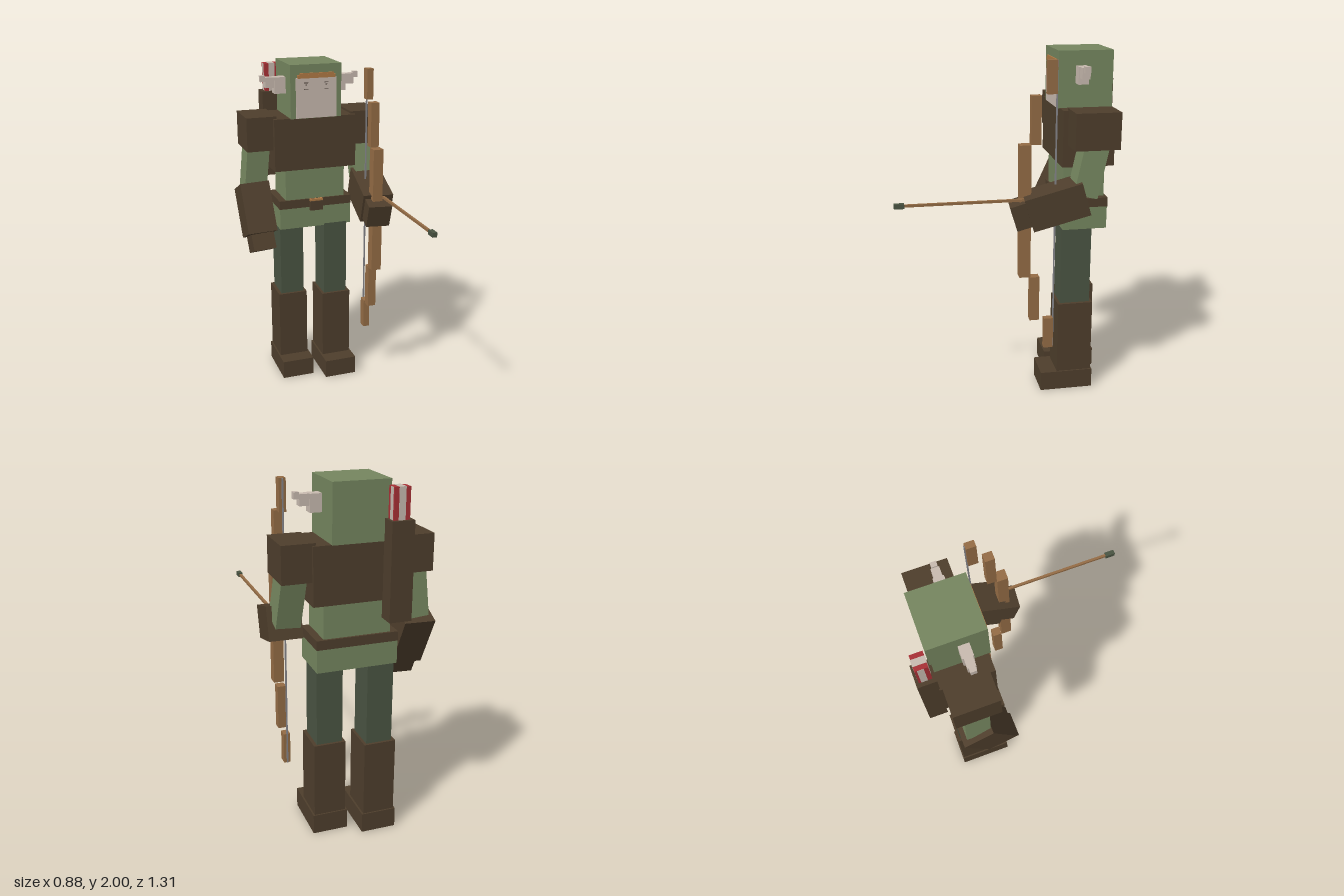
import * as THREE from 'three';

const mat = (name, color) => {
  const m = new THREE.MeshStandardMaterial({ color });
  m.name = name;
  return m;
};

export function createModel() {
  const root = new THREE.Group();
  root.name = 'archer';

  const green = mat('tunic green', 0x75865f);
  const brown = mat('dark leather', 0x4e3e2c);
  const trousers = mat('grey green', 0x4a5442);
  const skin = mat('pale skin', 0xc8baaf);
  const wood = mat('bow wood', 0x946c45);
  const hair = mat('ginger hair', 0xb07a45);
  const red = mat('red feather', 0xa83035);
  const grey = mat('string grey', 0x85858a);
  const dark = mat('eye dark', 0x4b4038);

  // Box given by its limits on each axis
  const box = (name, m, [x0, x1], [y0, y1], [z0, z1]) => {
    const mesh = new THREE.Mesh(new THREE.BoxGeometry(x1 - x0, y1 - y0, z1 - z0), m);
    mesh.position.set((x0 + x1) / 2, (y0 + y1) / 2, (z0 + z1) / 2);
    mesh.name = name;
    root.add(mesh);
    return mesh;
  };

  // Box whose long axis runs from a to b
  const limb = (name, m, a, b, w, d) => {
    const from = new THREE.Vector3(...a), to = new THREE.Vector3(...b);
    const y = from.clone().sub(to);
    const len = y.length();
    y.normalize();
    const z = new THREE.Vector3(1, 0, 0).cross(y).normalize();
    const x = y.clone().cross(z);
    const mesh = new THREE.Mesh(new THREE.BoxGeometry(w, len, d), m);
    mesh.quaternion.setFromRotationMatrix(new THREE.Matrix4().makeBasis(x, y, z));
    mesh.position.copy(from).add(to).multiplyScalar(0.5);
    mesh.name = name;
    root.add(mesh);
  };

  // Head, face and hair
  box('hood', green, [-0.152, 0.157], [1.69, 2], [-0.568, -0.262]);
  box('face', skin, [-0.12, 0.125], [1.692, 1.925], [-0.264, -0.257]);
  box('fringe', hair, [-0.11, 0.12], [1.922, 1.942], [-0.264, -0.255]);
  box('fringeTop', hair, [-0.1, 0.11], [1.942, 1.952], [-0.264, -0.256]);
  for (const x of [-0.058, 0.064]) {
    box('brow', dark, [x - 0.013, x + 0.013], [1.894, 1.898], [-0.259, -0.2555]);
    box('eye', dark, [x - 0.005, x + 0.005], [1.882, 1.886], [-0.259, -0.2555]);
    box('lowerLid', dark, [x - 0.013, x + 0.013], [1.858, 1.861], [-0.259, -0.2555]);
  }

  // Stepped ears
  const ear = [
    [0.15, 0.22, 1.825, 1.92, 0.029],
    [0.22, 0.272, 1.86, 1.92, 0.022],
    [0.272, 0.3, 1.895, 1.93, 0.016],
  ];
  for (const s of [-1, 1]) {
    for (const [a, b, y0, y1, h] of ear) {
      const xs = s > 0 ? [a, b] : [-b, -a];
      box(s > 0 ? 'leftEar' : 'rightEar', skin, xs, [y0, y1], [-0.387 - h, -0.387 + h]);
    }
  }

  // Trunk
  box('chestArmour', brown, [-0.25, 0.253], [1.38, 1.692], [-0.563, -0.272]);
  box('torso', green, [-0.182, 0.188], [1.15, 1.4], [-0.53, -0.295]);
  box('belt', brown, [-0.224, 0.23], [1.138, 1.19], [-0.543, -0.286]);
  box('skirt', green, [-0.222, 0.228], [1.01, 1.138], [-0.541, -0.288]);
  box('buckle', brown, [-0.037, 0.045], [1.12, 1.178], [-0.3, -0.265]);
  box('buckleTrim', hair, [-0.037, 0.045], [1.178, 1.19], [-0.3, -0.272]);

  // Legs and boots, the left one a step ahead
  for (const [side, s, dz] of [['left', 1, 0], ['right', -1, -0.077]]) {
    const span = (a, b) => (s > 0 ? [a, b] : [-b, -a]);
    const depth = (a, b) => [a + dz, b + dz];
    box(side + 'Leg', trousers, span(0.056, 0.204), [0.5, 1.02], depth(-0.463, -0.288));
    box(side + 'BootShaft', brown, span(0.041, 0.223), [0.1, 0.55], depth(-0.478, -0.272));
    box(side + 'BootFoot', brown, span(0.031, 0.232), [0, 0.115], depth(-0.486, -0.174));
  }

  // Shoulder guards
  box('leftShoulder', brown, [0.232, 0.412], [1.505, 1.705], [-0.547, -0.3]);
  box('rightShoulder', brown, [-0.407, -0.228], [1.505, 1.705], [-0.547, -0.3]);

  // Right arm hanging slightly forward
  limb('rightUpperArm', green, [-0.315, 1.62, -0.425], [-0.347, 1.24, -0.445], 0.135, 0.135);
  limb('rightGauntlet', brown, [-0.354, 1.262, -0.455], [-0.342, 0.985, -0.325], 0.178, 0.185);
  limb('rightHand', brown, [-0.342, 0.985, -0.325], [-0.336, 0.892, -0.284], 0.138, 0.14);

  // Left arm reaching out with the bow
  limb('leftUpperArm', green, [0.322, 1.62, -0.447], [0.345, 1.25, -0.362], 0.135, 0.135);
  limb('leftGauntlet', brown, [0.347, 1.25, -0.373], [0.316, 1.16, -0.067], 0.183, 0.185);
  limb('leftHand', brown, [0.309, 1.163, -0.08], [0.3, 1.134, 0.014], 0.142, 0.14);

  // Bow built from stepped blocks
  const bow = [
    [0.78, 1.53, -0.082, -0.02, 0.03],
    [1.53, 1.79, -0.135, -0.082, 0.025],
    [0.513, 0.775, -0.135, -0.082, 0.025],
    [1.795, 1.972, -0.22, -0.167, 0.019],
    [0.33, 0.513, -0.22, -0.167, 0.019],
  ];
  for (const [y0, y1, z0, z1, h] of bow) {
    box('bowSegment', wood, [0.302 - h, 0.302 + h], [y0, y1], [z0, z1]);
  }
  box('bowString', grey, [0.298, 0.306], [0.33, 1.97], [-0.226, -0.218]);

  // Nocked arrow
  box('arrowShaft', wood, [0.338, 0.352], [1.228, 1.242], [-0.2, 0.6]);
  box('arrowHead', trousers, [0.332, 0.358], [1.222, 1.248], [0.6, 0.655]);

  // Quiver with feathered arrows: red corners, white stripes
  box('quiver', brown, [-0.242, -0.12], [1.285, 1.807], [-0.658, -0.558]);
  box('feathers', red, [-0.22, -0.134], [1.75, 1.97], [-0.642, -0.575]);
  box('featherStripe', skin, [-0.195, -0.159], [1.75, 1.972], [-0.644, -0.573]);
  for (const x of [-0.221, -0.135]) {
    box('featherSideStripe', skin, [x, x + 0.002], [1.75, 1.969], [-0.63, -0.597]);
  }

  return root;
}
